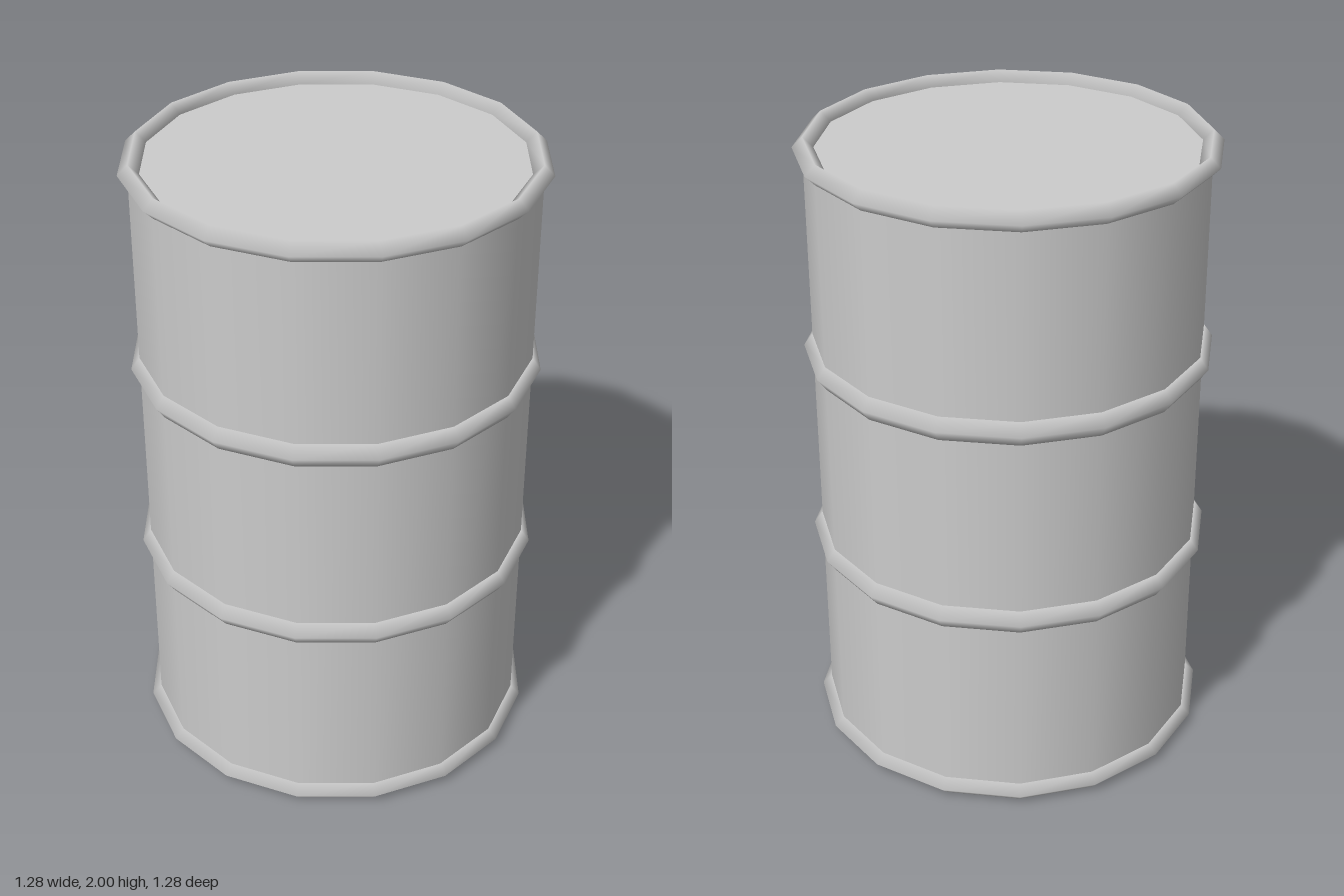
import * as THREE from 'three';

const SIDES = 16;
const RADIUS = 0.61;
const RIM_Y = 0.032; // height of the rim centre above the end of the drum

export function createModel() {
  const group = new THREE.Group();
  const material = new THREE.MeshStandardMaterial({ color: 0xcccccc });

  const add = (name, geometry, y) => {
    const mesh = new THREE.Mesh(geometry, material);
    mesh.name = name;
    mesh.position.y = y;
    group.add(mesh);
  };

  // Horizontal ring with a pointed, four-sided section
  const ring = (radius, depth, halfHeight) =>
    new THREE.TorusGeometry(radius, depth, 4, SIDES)
      .rotateX(Math.PI / 2)
      .scale(1, halfHeight / depth, 1);

  // Closed drum; its ends sit slightly inside the rims
  add('drumBody', new THREE.CylinderGeometry(RADIUS, RADIUS, 2 - 2 * RIM_Y, SIDES), 1);

  // End rims
  add('bottomRim', ring(0.608, 0.032, RIM_Y), RIM_Y);
  add('topRim', ring(0.608, 0.032, RIM_Y), 2 - RIM_Y);

  // Rolling hoops around the wall
  add('lowerHoop', ring(RADIUS, 0.027, 0.038), 0.68);
  add('upperHoop', ring(RADIUS, 0.027, 0.038), 1.324);

  return group;
}
